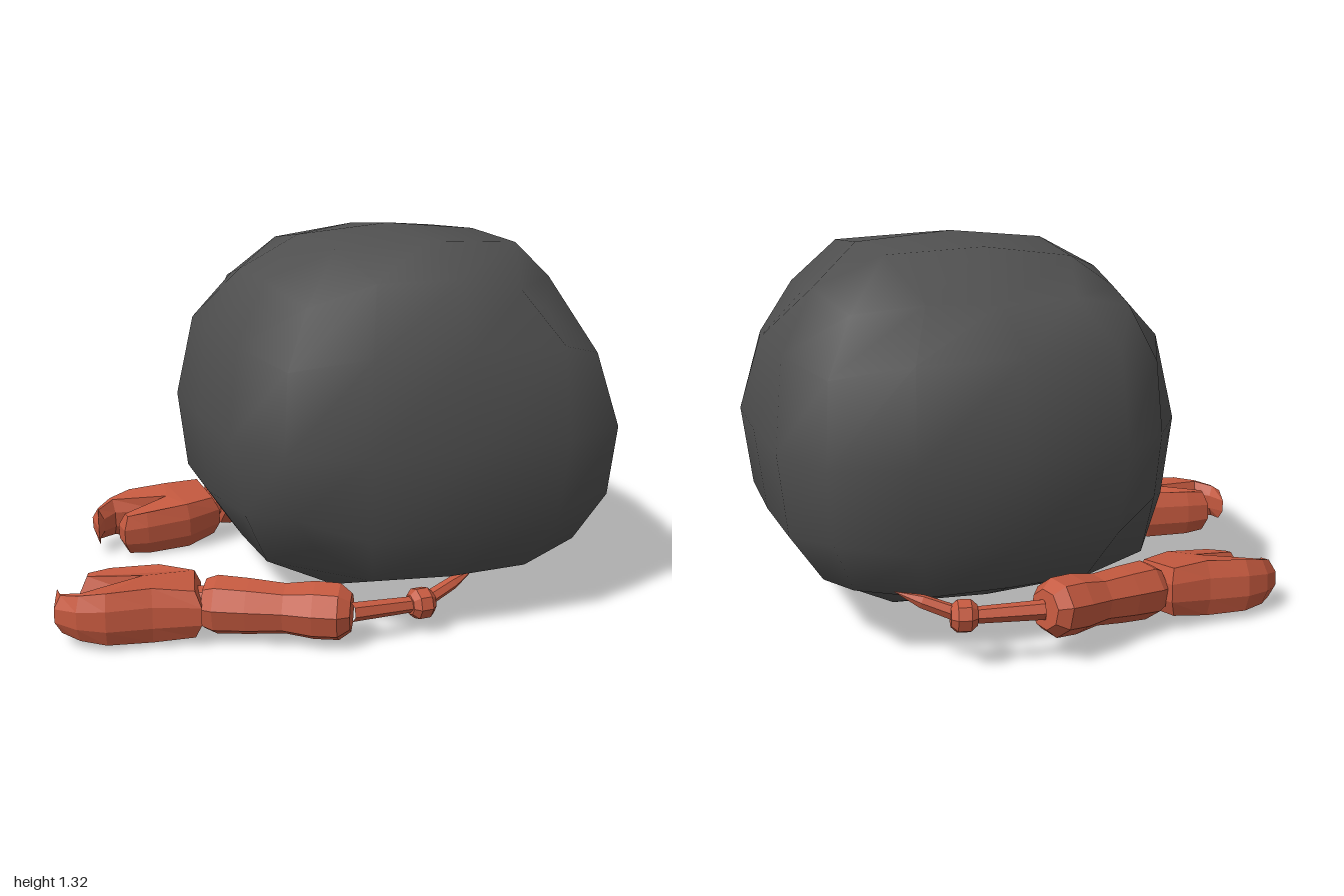
import * as THREE from 'three';
import { mergeVertices } from 'three/addons/utils/BufferGeometryUtils.js';

const rock = new THREE.MeshStandardMaterial({ color: 0x505050, side: THREE.DoubleSide });
rock.name = 'dark grey rock';
const coral = new THREE.MeshStandardMaterial({ color: 0xc4593f, flatShading: true });
coral.name = 'coral red';

// Dents and bulges: a factor for the vertices at these cube positions
const dents = [
  // hollow at the front top left corner
  [0.82, [1, 1, 1]],
  [0.93, [0.5, 1, 1], [1, 1, 0.5], [1, 0.5, 1], [1, 1, 0], [1, 0.5, 0.5]],
  // hollow at the front bottom right corner
  [0.87, [-1, -1, 1]],
  [0.93, [-1, -0.5, 1]],
  [0.96, [-1, -0.5, 0.5], [-1, 1, 1], [1, 1, -1]],
  // hollow in the back top edge
  [0.88, [0, 1, -1]],
  [0.92, [0.5, 1, -1], [-0.5, 1, -1]],
  // worn back right edge
  [0.92, [-1, 1, -1], [-1, 0.5, -1], [-1, 0, -1], [-1, -0.5, -1], [-1, 1, -0.5]],
  [0.96, [-1, 0.5, -0.5], [-0.5, 1, -0.5]],
  // fuller front and back
  [1.035, [0, 1, 1], [-0.5, 1, 1]],
  [1.02, [0, 0.5, 1], [-0.5, 0.5, 1], [0, 0.5, -1], [0.5, 0.5, -1], [0, -1, 1], [0.5, -1, 1]],
];

// Rounded boulder from a 4x4x4 cube, with an opening underneath
function createShell() {
  let geo = new THREE.BoxGeometry(2, 2, 2, 4, 4, 4);
  geo.deleteAttribute('uv');
  geo.deleteAttribute('normal');
  geo = mergeVertices(geo);
  const pos = geo.attributes.position;

  // opening: drop the four middle quads of the underside
  const idx = geo.index.array, kept = [];
  for (let i = 0; i < idx.length; i += 3) {
    const tri = [idx[i], idx[i + 1], idx[i + 2]];
    const open = tri.every(v => pos.getY(v) < -0.99 && Math.abs(pos.getX(v)) < 0.6 && Math.abs(pos.getZ(v)) < 0.6);
    if (!open) kept.push(...tri);
  }
  geo.setIndex(kept);

  const p = new THREE.Vector3();
  for (let i = 0; i < pos.count; i++) {
    p.fromBufferAttribute(pos, i);
    const dent = dents.find(([, ...at]) => at.some(a => Math.hypot(a[0] - p.x, a[1] - p.y, a[2] - p.z) < 0.1));
    const flat = (Math.abs(p.x) ** 4 + Math.abs(p.z) ** 4) ** 0.7;
    const r = (flat + Math.abs(p.y) ** 2.8) ** (1 / 2.8);
    p.multiplyScalar((dent ? dent[0] : 1) / r);
    pos.setXYZ(i, 0.285 + p.x * 0.713, 0.665 + p.y * (p.y > 0 ? 0.655 : 0.6), 0.043 + p.z * 0.743);
  }
  geo.computeVertexNormals();
  const mesh = new THREE.Mesh(geo, rock);
  mesh.name = 'boulderShell';
  return mesh;
}

// Faceted limb between two points; profile holds [fraction along, radius]
function limb(name, a, b, profile, sides = 8) {
  const dir = new THREE.Vector3().subVectors(b, a);
  const pts = profile.map(([t, r]) => new THREE.Vector2(r, t * dir.length()));
  const mesh = new THREE.Mesh(new THREE.LatheGeometry(pts, sides, Math.PI / sides), coral);
  mesh.position.copy(a);
  mesh.quaternion.setFromUnitVectors(new THREE.Vector3(0, 1, 0), dir.normalize());
  mesh.name = name;
  return mesh;
}

// Pincer outline: distance from the wrist, offset to the outer side
const pincer = [
  [0, -0.11], [0.14, -0.15], [0.31, -0.14], [0.4, -0.12], [0.405, -0.055],
  [0.225, -0.022], [0.39, 0.045], [0.445, 0.017], [0.485, -0.05],
  [0.48, 0.06], [0.405, 0.11], [0.31, 0.13], [0.16, 0.11], [0, 0.115],
];

// Arm with the wrist at the origin, pincer towards -x; m mirrors it in z
function createArm(name, m) {
  const arm = new THREE.Group();
  arm.name = name;

  const shape = new THREE.Shape(pincer.map(([s, t]) => new THREE.Vector2(-s, -t * m)));
  const geo = new THREE.ExtrudeGeometry(shape, {
    depth: 0.07, bevelEnabled: true, bevelThickness: 0.055, bevelSize: 0.022, bevelOffset: -0.022, bevelSegments: 1,
  });
  geo.translate(0, 0, -0.035);
  geo.rotateX(-Math.PI / 2);
  // thickest in the palm, thinner at the wrist and finger tips
  const pos = geo.attributes.position;
  for (let i = 0; i < pos.count; i++) {
    const d = (-pos.getX(i) - 0.2) / 0.27;
    pos.setY(i, pos.getY(i) * (1.06 - 0.36 * d * d));
  }
  geo.computeVertexNormals();
  const claw = new THREE.Mesh(geo, coral);
  claw.name = 'pincer';
  arm.add(claw);

  const at = (x, y, z) => new THREE.Vector3(x, y, z * m);
  const elbow = at(0.49, 0, 0.125), ball = at(0.735, -0.01, 0.05), tip = at(0.935, 0.07, -0.04);
  arm.add(limb('wrist', at(-0.03, 0, 0), at(0.04, 0, 0.01), [[0, 0], [0, 0.06], [1, 0.06], [1, 0]]));
  arm.add(limb('upperArm', at(0.015, 0, 0.005), elbow,
    [[0, 0], [0, 0.085], [0.08, 0.1], [0.3, 0.095], [0.55, 0.085], [0.75, 0.098], [0.92, 0.096], [1, 0.065], [1, 0]]));
  arm.add(limb('forearmRod', elbow, ball, [[0, 0.032], [1, 0.026]], 6));
  arm.add(limb('jointKnob', at(0.695, -0.01, 0.06), at(0.775, -0.01, 0.035),
    [[0, 0], [0, 0.035], [0.25, 0.054], [0.75, 0.054], [1, 0.035], [1, 0]]));
  arm.add(limb('innerRod', ball, tip, [[0, 0.026], [0.6, 0.022], [1, 0]], 6));
  return arm;
}

export function createModel() {
  const model = new THREE.Group();
  model.name = 'boulderCrab';
  model.add(createShell());

  const front = createArm('frontArm', 1);
  front.position.set(-0.52, 0.11, 0.4);
  front.rotation.y = -0.24;

  const back = createArm('backArm', -1);
  back.position.set(-0.24, 0.125, -0.545);
  back.rotation.set(0.14, 0.1, 0.06);

  model.add(front, back);
  return model;
}
